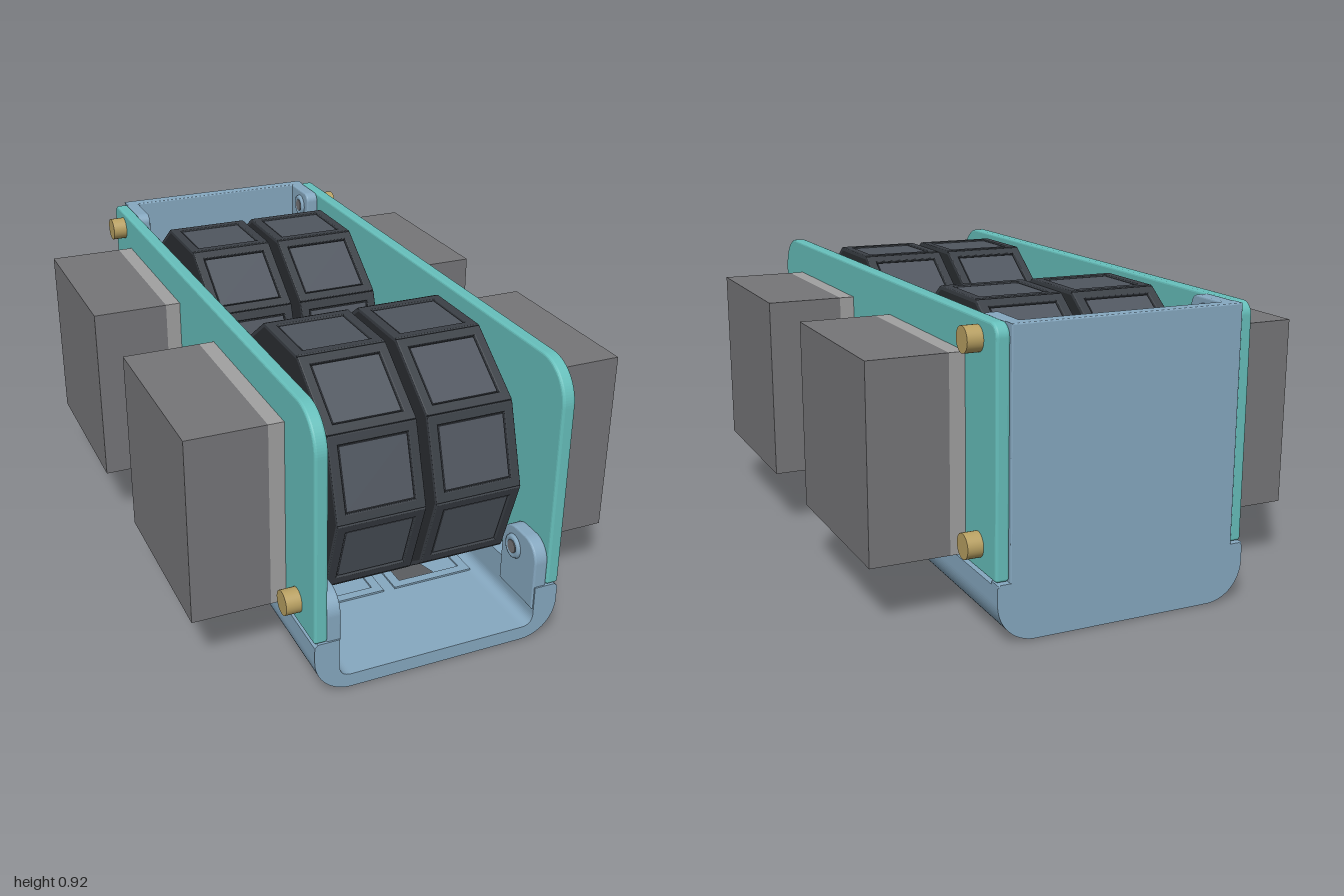
import * as THREE from 'three';

const material = (color, extra = {}) => new THREE.MeshStandardMaterial({ color, ...extra });
const blue = material(0x86a8c0), teal = material(0x66bfbb), brass = material(0xb8a062);
const dark = material(0x2b2e32, { flatShading: true }), rim = material(0x3b4046), slate = material(0x50565f);
const bodyGrey = material(0x757578), flangeGrey = material(0xa0a0a0), steel = material(0xa8a8a8);

const DRUM_Z = 0.48, AXIS_Y = 0.505, R = 0.435;
const SIDES = [1, -1];

function add(parent, name, geometry, mat, x = 0, y = 0, z = 0) {
  const mesh = new THREE.Mesh(geometry, mat);
  mesh.name = name;
  mesh.position.set(x, y, z);
  parent.add(mesh);
  return mesh;
}

const box = (w, h, d) => new THREE.BoxGeometry(w, h, d);
const rod = (r, length, n = 32) => new THREE.CylinderGeometry(r, r, length, n).rotateZ(Math.PI / 2);

// Extrusion whose overall size, bevel included, equals the outline and depth.
function slab(shape, depth, bevel = 0) {
  const g = new THREE.ExtrudeGeometry(shape, {
    depth: depth - 2 * bevel, curveSegments: 12, bevelEnabled: bevel > 0,
    bevelSize: bevel, bevelThickness: bevel, bevelOffset: -bevel, bevelSegments: 3,
  });
  return g.translate(0, 0, bevel);
}

// Rectangle with a radius per corner: bottom left, bottom right, top right, top left.
function rect(x0, y0, x1, y1, [a, b, c, d] = [0, 0, 0, 0], Type = THREE.Shape) {
  const s = new Type();
  const arc = (x, y, r, q) => r ? s.absarc(x, y, r, q * Math.PI / 2, (q + 1) * Math.PI / 2, false) : s.lineTo(x, y);
  s.moveTo(x0 + a, y0);
  arc(x1 - b, y0 + b, b, 3);
  arc(x1 - c, y1 - c, c, 0);
  arc(x0 + d, y1 - d, d, 1);
  arc(x0 + a, y0 + a, a, 2);
  return s;
}

function framed(w, h, border, r = 0) {
  const s = rect(-w / 2, -h / 2, w / 2, h / 2, [r, r, r, r]);
  const iw = w / 2 - border, ih = h / 2 - border;
  s.holes.push(rect(-iw, -ih, iw, ih, undefined, THREE.Path));
  return s;
}

function createBase() {
  const base = new THREE.Group();
  base.name = 'base';

  // Floor with one opening under each wheel
  const floor = rect(-0.29, -1, 0.29, 1);
  for (const x of [-0.16, 0.16]) for (const z of [-DRUM_Z, DRUM_Z]) {
    floor.holes.push(rect(x - 0.13, z - 0.17, x + 0.13, z + 0.17, undefined, THREE.Path));
    add(base, 'windowFrame', slab(framed(0.28, 0.36, 0.03), 0.054).rotateX(-Math.PI / 2), blue, x, -0.003, z);
  }
  add(base, 'floor', slab(floor, 0.045).rotateX(-Math.PI / 2), blue);

  // Rounded side rails, swept along the length
  for (const side of SIDES) {
    const p = new THREE.Shape();
    p.moveTo(0.29, 0);
    p.absarc(0.29, 0.12, 0.12, -Math.PI / 2, 0, false);
    p.lineTo(0.41, 0.17);
    p.lineTo(0.4, 0.18);
    p.lineTo(0.33, 0.18);
    p.lineTo(0.33, 0.085);
    p.quadraticCurveTo(0.33, 0.045, 0.29, 0.045);
    const g = slab(p, 2);
    if (side < 0) g.rotateY(Math.PI);
    add(base, 'sideRail', g, blue, 0, 0, -side);
  }

  // Back wall, stepped in above the rails to take the side plates
  const w = new THREE.Shape();
  w.moveTo(-0.29, 0);
  w.lineTo(0.29, 0);
  w.absarc(0.29, 0.12, 0.12, -Math.PI / 2, 0, false);
  for (const [x, y] of [[0.41, 0.18], [0.37, 0.18], [0.37, 0.92], [-0.37, 0.92], [-0.37, 0.18], [-0.41, 0.18]]) w.lineTo(x, y);
  w.absarc(-0.29, 0.12, 0.12, Math.PI, Math.PI * 1.5, false);
  add(base, 'backWall', slab(w, 0.045, 0.004), blue, 0, 0, -1);

  // Screw lugs: outline is drawn with -z running to the right
  const lugs = [
    rect(-0.995, 0.1, -0.8, 0.33, [0, 0, 0.07, 0.07]),
    rect(0.8, 0.1, 0.99, 0.33, [0, 0, 0, 0.07]),
    rect(0.8, 0.79, 0.99, 0.92, [0.065, 0, 0, 0.03]),
  ];
  for (const side of SIDES) for (const lug of lugs) {
    add(base, 'screwLug', slab(lug, 0.045, 0.006).rotateY(Math.PI / 2), blue, side > 0 ? 0.325 : -0.37);
  }
  return base;
}

function createSidePlate(side) {
  const plate = new THREE.Group();
  plate.name = side > 0 ? 'leftSide' : 'rightSide';
  const outline = rect(-1, 0.182, 0.99, 0.92, [0.01, 0.01, 0.04, 0.13]);
  add(plate, 'sidePlate', slab(outline, 0.042, 0.008).rotateY(Math.PI / 2), teal, side > 0 ? 0.369 : -0.411);

  // Screws with their nuts on the inside of the lugs
  for (const [y, z] of [[0.26, 0.87], [0.26, -0.87], [0.86, -0.87]]) {
    add(plate, 'screw', rod(0.039, 0.06), brass, side * 0.43, y, z);
    add(plate, 'nut', new THREE.TorusGeometry(0.03, 0.011, 8, 24).rotateY(Math.PI / 2), blue, side * 0.325, y, z);
    add(plate, 'screwEnd', rod(0.022, 0.02), bodyGrey, side * 0.325, y, z);
  }

  // Motors with flange, bushing and shaft
  for (const z of [DRUM_Z, -DRUM_Z]) {
    const motor = new THREE.Group();
    motor.name = 'motor';
    motor.position.set(0, 0.503, z);
    plate.add(motor);
    add(motor, 'motorFlange', box(0.05, 0.605, 0.605), flangeGrey, side * 0.435);
    add(motor, 'motorBody', box(0.25, 0.605, 0.605), bodyGrey, side * 0.585);
    add(motor, 'bushing', rod(0.06, 0.02), brass, side * 0.363);
    add(motor, 'shaft', rod(0.034, 0.12), steel, side * 0.33);
  }
  return plate;
}

// Ten-sided wheel with a framed, slightly sunk panel on every face
function createWheel(x, z) {
  const wheel = new THREE.Group();
  wheel.name = 'wheel';
  wheel.position.set(x, AXIS_Y, z);
  const apothem = R * Math.cos(Math.PI / 10);
  add(wheel, 'wheelCore', new THREE.CylinderGeometry(R - 0.013, R - 0.013, 0.285, 10).rotateZ(Math.PI / 2), dark);
  const frame = slab(framed(0.285, 0.264, 0.03), 0.016, 0.003);
  const panel = box(0.216, 0.194, 0.012);
  for (let i = 0; i < 10; i++) {
    const face = new THREE.Group();
    face.name = 'wheelFace';
    face.rotation.x = -(i + 0.5) * Math.PI / 5;
    wheel.add(face);
    add(face, 'faceFrame', frame, rim, 0, 0, apothem - 0.016);
    add(face, 'facePanel', panel, slate, 0, 0, apothem - 0.01);
  }
  return wheel;
}

export function createModel() {
  const model = new THREE.Group();
  model.name = 'wheelDisplay';
  model.add(createBase());
  for (const side of SIDES) {
    model.add(createSidePlate(side));
    for (const z of [DRUM_Z, -DRUM_Z]) model.add(createWheel(side * 0.16, z));
  }
  return model;
}
